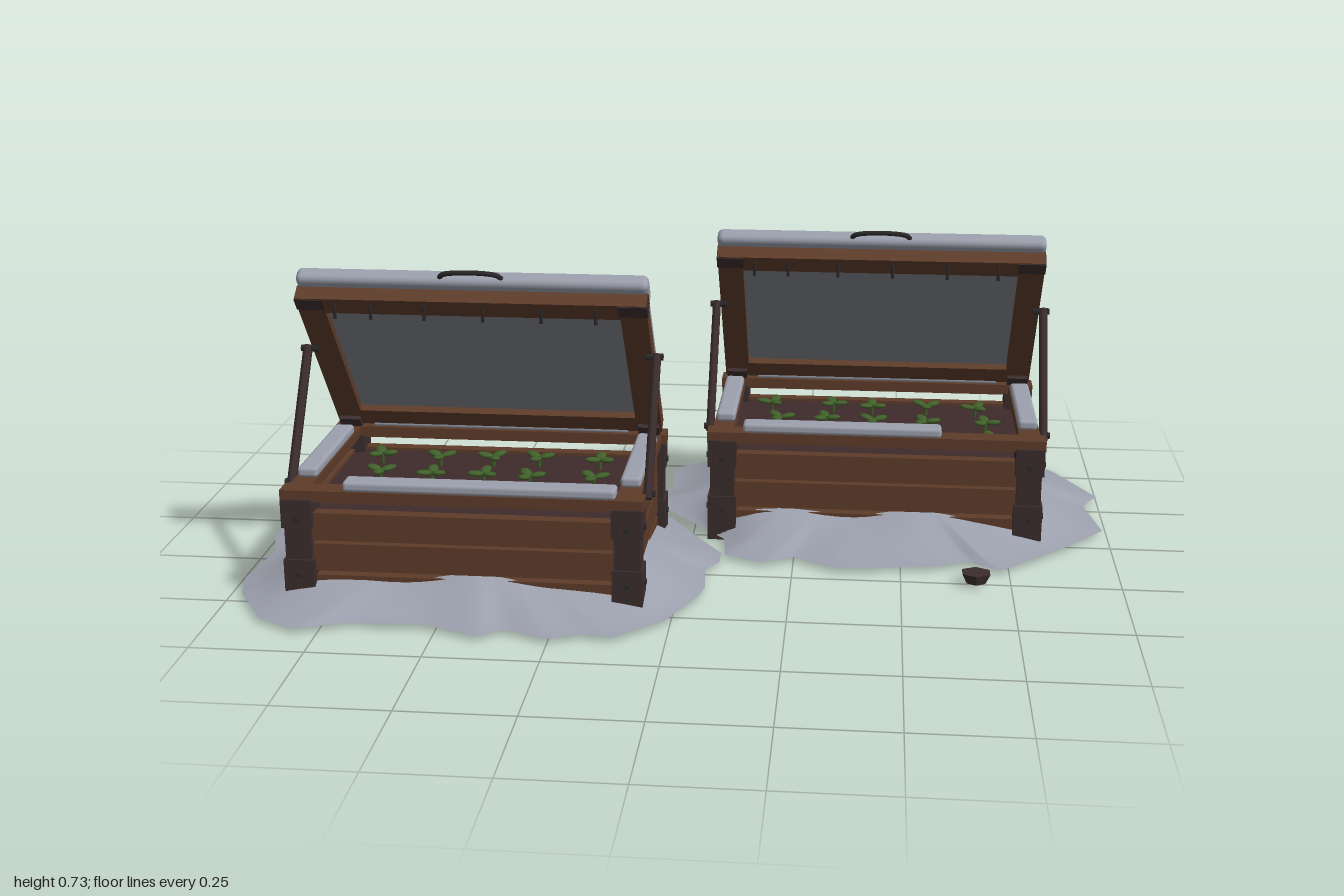
import * as THREE from 'three';
import { RoundedBoxGeometry } from 'three/addons/geometries/RoundedBoxGeometry.js';

const mat = (name, color, extra = {}) => {
  const m = new THREE.MeshStandardMaterial({ color, ...extra });
  m.name = name;
  return m;
};

// small seeded generator for natural variation
function seeded(seed) {
  let s = seed;
  return () => (s = (s * 16807) % 2147483647) / 2147483647;
}

export function createModel() {
  const wood = mat('plankWood', 0x5e3c29);
  const dark = mat('darkWood', 0x3c2d2d);
  const soil = mat('soil', 0x3e2a2a);
  const snow = mat('snow', 0x9ca0ad);
  const drift = mat('driftSnow', 0x9ca0ad, { side: THREE.DoubleSide });
  const glass = mat('glass', 0x7d8289);
  const leaf = mat('leaf', 0x40602a);
  const iron = mat('iron', 0x2b282a);

  const add = (parent, name, geo, material, x = 0, y = 0, z = 0) => {
    const m = new THREE.Mesh(geo, material);
    m.name = name;
    m.position.set(x, y, z);
    parent.add(m);
    return m;
  };
  const box = (p, name, m, w, h, d, x, y, z) => add(p, name, new THREE.BoxGeometry(w, h, d), m, x, y, z);
  const soft = (p, name, w, h, d, x, y, z) =>
    add(p, name, new RoundedBoxGeometry(w, h, d, 2, Math.min(w, h, d) * 0.35), snow, x, y, z);

  // cylinder between two points
  const rod = (p, name, m, a, b, r, sides = 6) => {
    const A = new THREE.Vector3(...a), B = new THREE.Vector3(...b);
    const dir = B.clone().sub(A);
    const mesh = add(p, name, new THREE.CylinderGeometry(r, r, dir.length(), sides), m);
    mesh.position.copy(A).add(B).multiplyScalar(0.5);
    mesh.quaternion.setFromUnitVectors(new THREE.Vector3(0, 1, 0), dir.normalize());
    return mesh;
  };

  // three-leaved seedling
  function seedling(parent, x, z, turn) {
    const g = new THREE.Group();
    g.name = 'seedling';
    g.position.set(x, 0.205, z);
    g.rotation.y = turn;
    rod(g, 'stem', leaf, [0, 0, 0], [0, 0.028, 0], 0.004, 5);
    for (let i = 0; i < 3; i++) {
      const arm = new THREE.Group();
      arm.rotation.y = (i * Math.PI * 2) / 3;
      const l = add(arm, 'leaf', new THREE.SphereGeometry(1, 8, 6), leaf, 0.019, 0.03, 0);
      l.scale.set(0.02, 0.006, 0.013);
      l.rotation.z = 0.15;
      g.add(arm);
    }
    parent.add(g);
  }

  // tilted lid: local z runs up the slope, local y points outward
  function lid(parent) {
    const g = new THREE.Group();
    g.name = 'lid';
    g.position.set(0, 0.29, -0.225);
    g.rotation.x = -0.902;
    for (const s of [-1, 1]) {
      box(g, 'lidStile', wood, 0.06, 0.036, 0.49, s * 0.36, 0, 0.24);
      soft(g, 'stileSnow', 0.056, 0.022, 0.36, s * 0.362, 0.028, 0.29);
      box(g, 'hingeBlock', dark, 0.05, 0.05, 0.05, s * 0.36, -0.003, 0.0);
      box(g, 'cornerBracket', dark, 0.064, 0.04, 0.035, s * 0.36, 0, 0.465);
    }
    box(g, 'lidTopRail', wood, 0.66, 0.036, 0.05, 0, 0, 0.46);
    box(g, 'lidBottomRail', wood, 0.66, 0.036, 0.055, 0, 0, 0.022);
    box(g, 'glassPane', glass, 0.67, 0.01, 0.4, 0, 0.004, 0.24);
    box(g, 'paneSnow', snow, 0.672, 0.014, 0.4, 0, 0.017, 0.245);
    soft(g, 'topSnowRoll', 0.785, 0.04, 0.072, 0, 0.036, 0.474);
    // arched handle
    const curve = new THREE.CatmullRomCurve3([[-0.072, 0.5], [-0.06, 0.519], [0.06, 0.519], [0.072, 0.5]]
      .map(([x, z]) => new THREE.Vector3(x, 0.032, z)));
    add(g, 'handle', new THREE.TubeGeometry(curve, 16, 0.006, 6), iron);
    parent.add(g);
    // hanging pegs under the top rail
    for (const x of [-0.3, -0.22, -0.1, 0.03, 0.16, 0.28])
      rod(parent, 'hangingPeg', iron, [x, 0.648, 0.09], [x, 0.616, 0.09], 0.004, 5);
  }

  function coldFrame(cx, cz, frontSnow, seed) {
    const g = new THREE.Group();
    g.name = 'coldFrame';
    g.position.set(cx, 0, cz);
    const rnd = seeded(seed);
    // notched corner posts with bolts
    for (const sx of [-1, 1]) for (const sz of [-1, 1]) {
      const x = sx * 0.364, z = sz * 0.226;
      box(g, 'postFoot', dark, 0.068, 0.11, 0.068, x, 0.055, z);
      box(g, 'postMiddle', dark, 0.058, 0.09, 0.058, x, 0.15, z);
      box(g, 'postHead', dark, 0.068, 0.066, 0.068, x, 0.217, z);
      for (const y of [0.075, 0.205]) {
        rod(g, 'bolt', iron, [x, y, z], [x, y, z + sz * 0.039], 0.007);
        rod(g, 'bolt', iron, [x, y, z], [x + sx * 0.039, y, z], 0.007);
      }
    }
    // plank walls
    for (const [y, h] of [[0.04, 0.06], [0.112, 0.064], [0.183, 0.064]]) for (const s of [-1, 1]) {
      box(g, 'longPlank', wood, 0.68, h, 0.028, 0, y, s * 0.228);
      box(g, 'shortPlank', wood, 0.028, h, 0.4, s * 0.366, y, 0);
    }
    // top rim with its snow
    for (const s of [-1, 1]) {
      box(g, 'longRim', wood, 0.8, 0.026, 0.05, 0, 0.257, s * 0.228);
      box(g, 'shortRim', wood, 0.05, 0.024, 0.41, s * 0.364, 0.257, 0);
      soft(g, 'sideRimSnow', 0.046, 0.024, 0.32, s * 0.362, 0.28, 0.005);
    }
    const [a, b] = frontSnow;
    soft(g, 'frontRimSnow', b - a, 0.024, 0.048, (a + b) / 2, 0.281, 0.229);
    soft(g, 'backRimSnow', 0.62, 0.02, 0.04, 0, 0.278, -0.232);
    // soil bed and seedlings
    box(g, 'soilBed', soil, 0.71, 0.04, 0.44, 0, 0.188, 0);
    for (const z of [-0.12, 0, 0.122]) for (const x of [-0.25, -0.11, 0, 0.115, 0.265])
      seedling(g, x + (rnd() - 0.5) * 0.03, z + (rnd() - 0.5) * 0.015, rnd() * 6.28);
    // prop sticks
    for (const s of [-1, 1]) {
      rod(g, 'propStick', dark, [s * 0.4, 0.245, 0.165], [s * 0.4, 0.52, -0.025], 0.011);
      rod(g, 'propPin', iron, [s * 0.375, 0.515, -0.022], [s * 0.415, 0.515, -0.022], 0.008);
      rod(g, 'propPin', iron, [s * 0.375, 0.255, 0.158], [s * 0.415, 0.255, 0.158], 0.008);
    }
    lid(g);
    return g;
  }

  // sloping snow from the box walls out to a ragged edge
  function snowDrift(cx, cz, outline, phase) {
    const edge = [];
    outline.forEach(([x, z], i) => {
      const [nx, nz] = outline[(i + 1) % outline.length];
      for (let k = 0; k < 4; k++) edge.push([x + ((nx - x) * k) / 4 - cx, z + ((nz - z) * k) / 4 - cz]);
    });
    const rings = 7, n = edge.length, pos = [], idx = [];
    for (let r = 0; r <= rings; r++) edge.forEach(([x, z]) => {
      const f = 1 / Math.max(Math.abs(x) / 0.372, Math.abs(z) / 0.234);
      const t = r / rings, k = f + (1 - f) * t, ang = Math.atan2(z, x);
      const corner = Math.min(Math.abs(x * f) / 0.372, Math.abs(z * f) / 0.234);
      const h = 0.062 - 0.025 * corner ** 3 + 0.009 * Math.sin(ang * 5 + phase);
      pos.push(cx + x * k, 0.011 + h * (1 - t) ** 1.35, cz + z * k);
    });
    for (let r = 0; r < rings; r++) for (let i = 0; i < n; i++) {
      const j = (i + 1) % n, a = r * n + i, b = r * n + j, c = a + n, d = b + n;
      idx.push(a, b, c, b, d, c);
    }
    const geo = new THREE.BufferGeometry();
    geo.setAttribute('position', new THREE.Float32BufferAttribute(pos, 3));
    geo.setIndex(idx);
    geo.computeVertexNormals();
    return geo;
  }

  const model = new THREE.Group();
  model.name = 'coldFrames';
  model.add(coldFrame(-0.46, 0.255, [-0.26, 0.34], 11));
  model.add(coldFrame(0.435, -0.235, [-0.315, 0.155], 47));

  const edgeA = [[-1, .04], [-.97, -.02], [-.9, -.09], [-.84, -.13], [-.72, -.14], [-.53, -.19], [-.41, -.14],
    [-.34, -.17], [-.28, -.14], [-.18, -.14], [-.06, -.08], [.02, .05], [.08, .14], [.08, .2], [.05, .24],
    [.06, .35], [.05, .4], [-.01, .54], [-.11, .64], [-.18, .63], [-.25, .66], [-.35, .62], [-.4, .66],
    [-.53, .61], [-.7, .62], [-.8, .66], [-.89, .61], [-.97, .48], [-.99, .39], [-.97, .23], [-1, .13]];
  const edgeB = [[-.13, -.21], [-.08, -.29], [-.09, -.45], [.06, -.58], [.15, -.63], [.35, -.65], [.45, -.59],
    [.52, -.62], [.56, -.67], [.62, -.67], [.66, -.66], [.76, -.66], [.82, -.63], [.91, -.51], [1, -.33],
    [.96, -.26], [.99, -.09], [.89, .03], [.73, .19], [.66, .14], [.57, .18], [.35, .21], [.25, .15],
    [.18, .19], [.09, .15], [.08, .05], [-.05, -.11], [-.13, -.19]];
  add(model, 'snowDrift', snowDrift(-0.46, 0.255, edgeA, 0.5), drift);
  add(model, 'snowDrift', snowDrift(0.435, -0.235, edgeB, 2), drift);

  // loose clods of earth
  for (const [x, y, z] of [[-0.135, 0.03, -0.05], [0.67, 0.02, 0.25]]) {
    const clod = add(model, 'earthClod', new THREE.CylinderGeometry(0.022, 0.022, 0.026, 6), dark, x, y, z);
    const p = clod.geometry.attributes.position;
    for (let i = 0; i < p.count; i++) if (p.getY(i) > 0) p.setXYZ(i, p.getX(i) * 1.5, p.getY(i) * 0.8, p.getZ(i) * 1.3);
    clod.scale.set(1.1, 1, 1.1);
    clod.geometry.computeVertexNormals();
  }
  return model;
}
